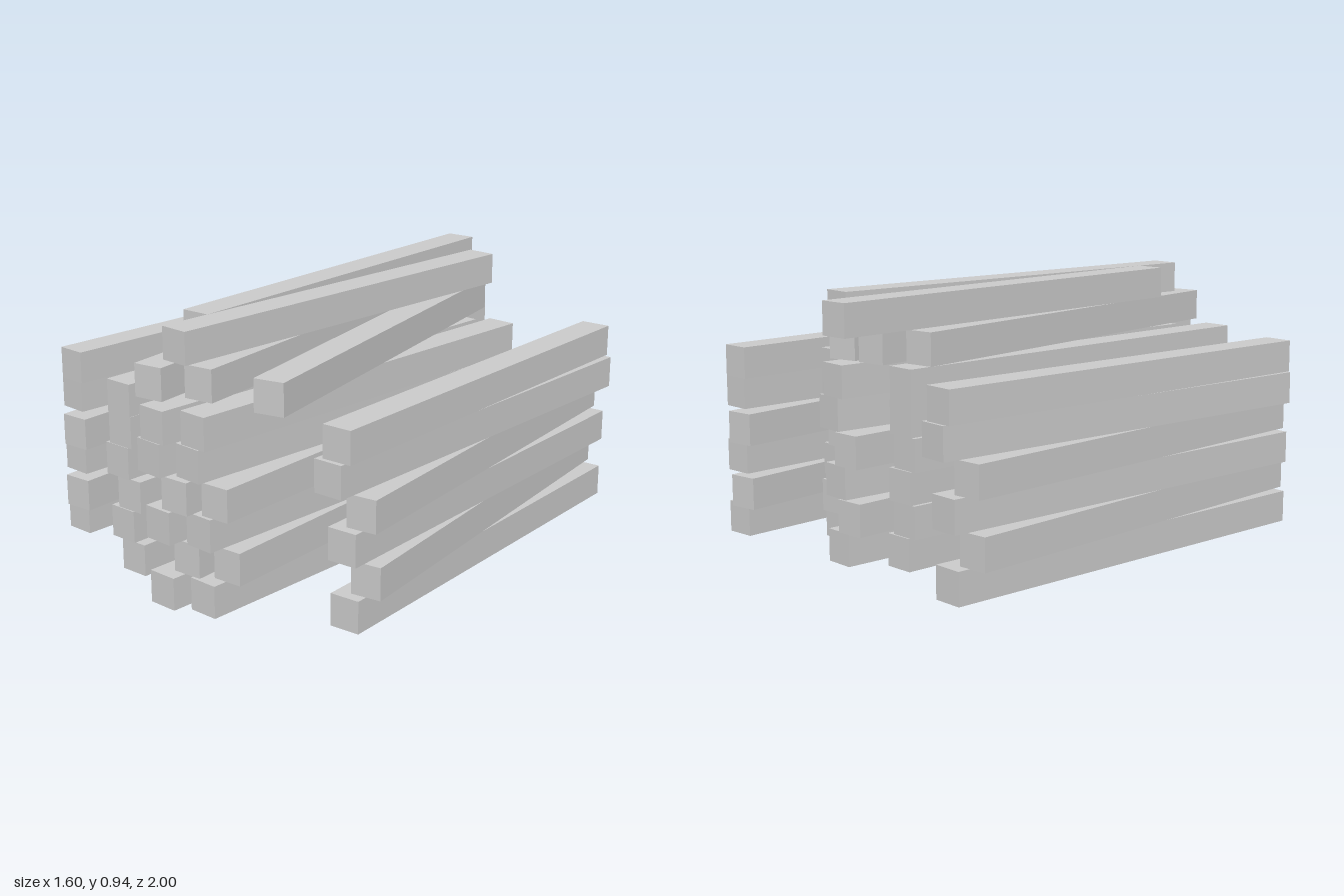
import * as THREE from 'three';

const LENGTH = 1.62, WIDTH = 0.113, HEIGHT = 0.117;

export function createModel() {
  const model = new THREE.Group();
  model.name = 'beamPile';
  const material = new THREE.MeshStandardMaterial({ color: 0xcccccc, flatShading: true });
  const geometry = new THREE.BoxGeometry(WIDTH, HEIGHT, LENGTH);

  // One beam: centre of its front end (x, z) and sideways shift dx towards its back end
  function addBeam(parent, name, level, x, z, dx) {
    const angle = Math.asin(dx / LENGTH);
    const beam = new THREE.Mesh(geometry, material);
    beam.name = name;
    beam.position.set(x + dx / 2, (level + 0.5) * HEIGHT, z - Math.cos(angle) * LENGTH / 2);
    beam.rotation.y = -angle;
    parent.add(beam);
  }

  // Six full layers: front x of each of the six beams, and how far they slant
  const layers = [
    { x: [-0.708, -0.278, -0.113, -0.013, 0.14, 0.60], slant: 0.24, side: 0.105, inner: 0.20, z: 0.985 },
    { x: [-0.663, -0.322, -0.06, 0.06, 0.21, 0.658], slant: 0.12, side: -0.022, inner: 0.22, z: 0.94 },
    { x: [-0.718, -0.288, -0.12, -0.024, 0.128, 0.592], slant: 0.26, side: 0.12, inner: 0.20, z: 0.985 },
    { x: [-0.673, -0.337, -0.07, 0.045, 0.194, 0.645], slant: 0.145, side: 0.01, inner: 0.23, z: 0.98 },
    { x: [-0.742, -0.32, -0.138, -0.055, 0.088, 0.552], slant: 0.315, side: 0.195, inner: 0.23, z: 0.985 },
    { x: [-0.728, -0.322, -0.134, -0.038, 0.113, 0.576], slant: 0.283, side: 0.145, inner: 0.23, z: 0.985 },
  ];
  layers.forEach(({ x, slant, side, inner, z }, level) => {
    const layer = new THREE.Group();
    layer.name = `layer${level + 1}`;
    addBeam(layer, 'outerRightBeam', level, x[0], 0.73 - 0.42 * slant, slant);
    addBeam(layer, 'innerRightBeam', level, x[1], 0.82, inner);
    addBeam(layer, 'middleRightBeam', level, x[2], 0.73, slant);
    addBeam(layer, 'middleLeftBeam', level, x[3], z, slant);
    addBeam(layer, 'innerLeftBeam', level, x[4], z - 0.025, slant);
    addBeam(layer, 'outerLeftBeam', level, x[5], 0.767 + 0.3 * side, side);
    model.add(layer);
  });

  // Loose beams on top
  const loose = [
    [6, -0.105, 0.915, 0], [6, 0.043, 0.835, 0], [6, 0.327, 0.83, -0.145],
    [7, -0.128, 0.625, 0.138], [7, -0.052, 0.84, 0.287],
  ];
  for (const [level, x, z, dx] of loose) addBeam(model, 'looseBeam', level, x, z, dx);

  return model;
}
